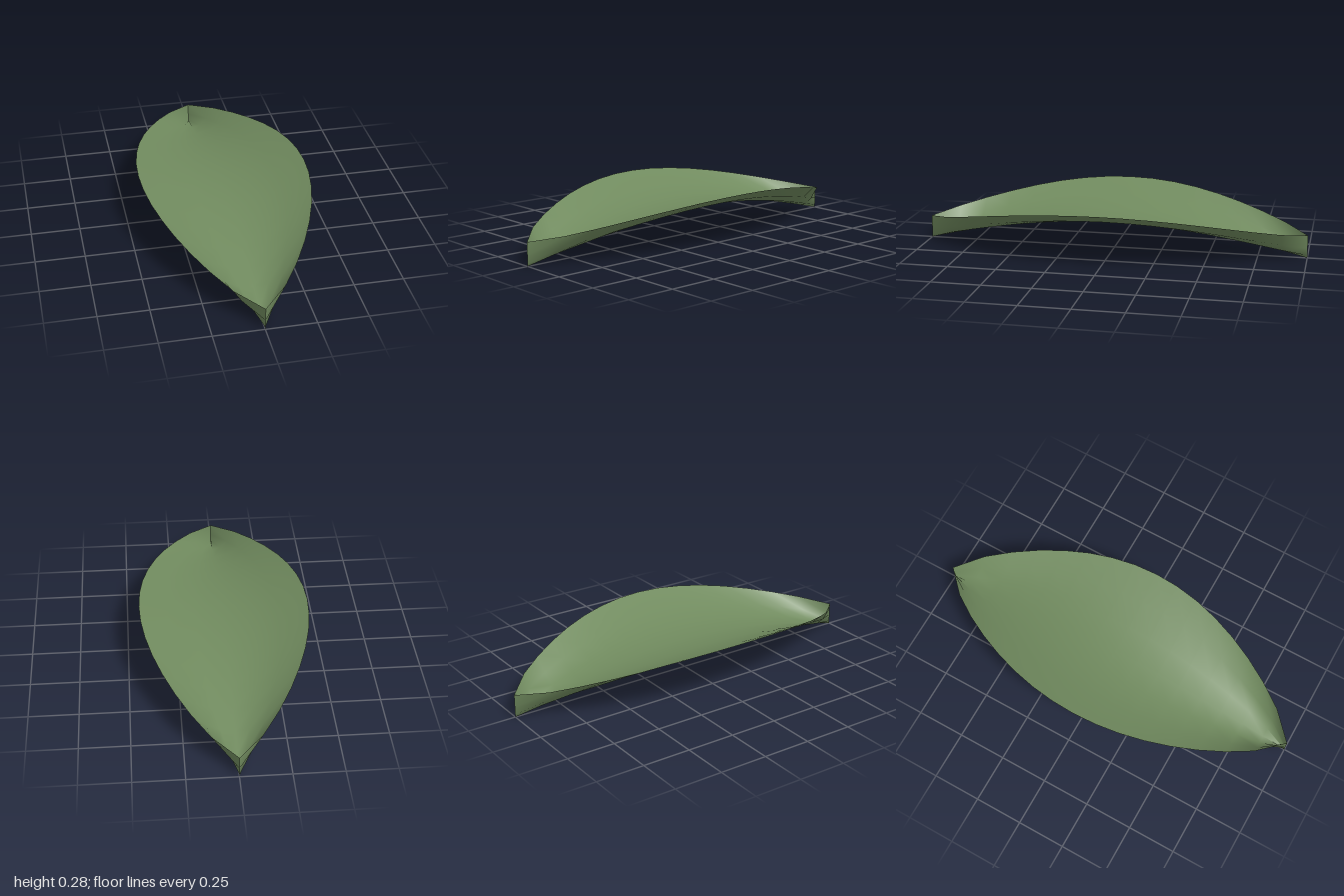
import * as THREE from 'three';

const HALF_WIDTH = 0.435;
const ARCH = 0.16; // rise of the midrib at the middle
const CUP = 0.118; // rise of the edges above the midrib

export function createModel() {
  const group = new THREE.Group();
  group.name = 'leaf';

  const leafGreen = new THREE.MeshStandardMaterial({ color: 0x708a5e, side: THREE.DoubleSide });
  leafGreen.name = 'leaf green';

  // Flat sheet, bent into a pointed, arched and cupped blade
  const blade = new THREE.PlaneGeometry(2, 2, 6, 16).rotateX(-Math.PI / 2);
  const pos = blade.attributes.position;
  for (let i = 0; i < pos.count; i++) {
    const u = pos.getX(i);
    const z = pos.getZ(i);
    const bow = Math.max(0, Math.cos((z * Math.PI) / 2));
    const width = Math.abs(z) > 0.999 ? 0 : HALF_WIDTH * Math.pow(bow, 0.75);
    pos.setXYZ(i, u * width, ARCH * bow + CUP * u * u, z);
  }
  blade.computeVertexNormals();

  const mesh = new THREE.Mesh(blade, leafGreen);
  mesh.name = 'leafBlade';
  group.add(mesh);
  return group;
}
